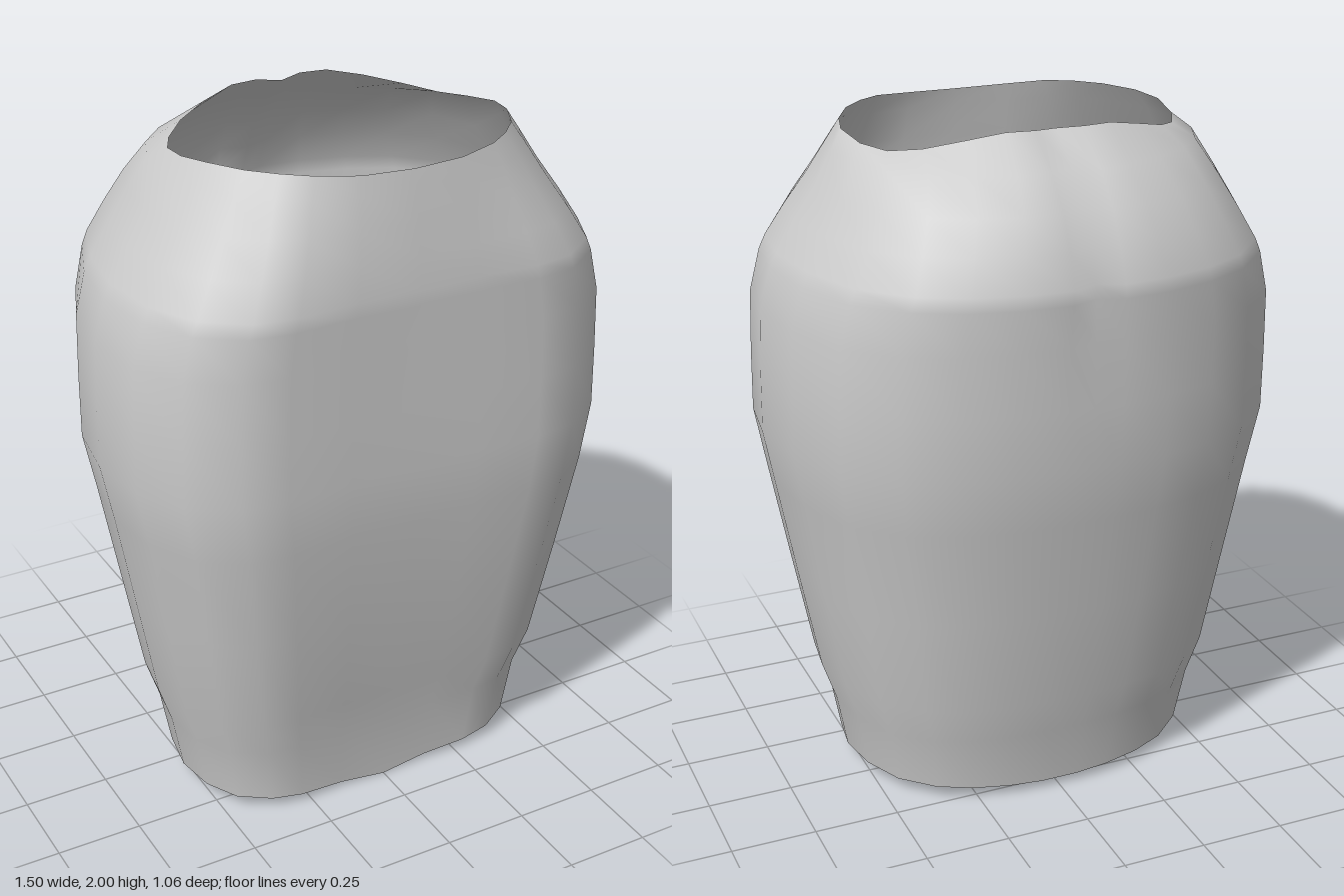
import * as THREE from 'three';

// Half cross-sections [x, z], from centre back round the left side to centre front
const WAIST = [[0, -.24], [.07, -.265], [.15, -.255], [.25, -.22], [.35, -.165], [.42, -.09], [.465, 0],
  [.48, .115], [.455, .21], [.4, .315], [.335, .385], [.265, .435], [.15, .47], [0, .48]];
const HIP = [[0, -.5], [.08, -.53], [.22, -.52], [.37, -.485], [.51, -.42], [.64, -.295], [.715, -.11],
  [.745, .09], [.72, .28], [.645, .42], [.52, .505], [.39, .525], [.2, .515], [0, .52]];

// Heights of the wavy waist and hem edges, in the same order
const WAIST_Y = [1.995, 2, 2, 1.98, 1.955, 1.94, 1.945, 1.96, 1.968, 1.97, 1.97, 1.968, 1.96, 1.957];
const HEM_Y = [.03, .03, .035, .04, .045, .05, .05, .05, .05, .045, .04, .03, .02, .003];

// Rows from waist to hem: [y, half width, front z, back z, waist-to-hip blend, back seam depth]
const ROWS = [
  [WAIST_Y, .48, .48, -.265, 0, 1],
  [1.91, .52, .49, -.37, .3, 1],
  [1.82, .573, .505, -.45, .6, 1],
  [1.73, .63, .518, -.495, .85, 1],
  [1.64, .685, .53, -.53, 1, 1],
  [1.6, .705, .53, -.529, 1, .9],
  [1.48, .738, .53, -.524, 1, .5],
  [1.3, .745, .53, -.515, 1, .15],
  [1.12, .748, .53, -.506, 1, 0],
  [.95, .716, .523, -.477, 1, 0],
  [.65, .662, .48, -.423, 1, 0],
  [.34, .605, .432, -.37, 1, 0],
  [.22, .565, .398, -.333, 1, 0],
  [HEM_Y, .535, .38, -.3, 1, 0],
];

// Fits a section into a unit box: x from 0 to 1, z from 0 (back) to 1 (front)
function normalise(section) {
  const w = Math.max(...section.map(p => p[0]));
  const zs = section.map(p => p[1]);
  const back = Math.min(...zs), front = Math.max(...zs);
  return section.map(([x, z]) => [x / w, (z - back) / (front - back)]);
}

// Skirt body: blended rings, mirrored across x = 0 and joined in quads
function skirtGeometry() {
  const waist = normalise(WAIST), hip = normalise(HIP);
  const half = WAIST.length, around = 2 * half - 2;
  const positions = [], indices = [];
  ROWS.forEach(([y, w, front, back, blend, seam], r) => {
    for (let i = 0; i < around; i++) {
      const k = i < half ? i : around - i;
      const side = i < half ? 1 : -1;
      const x = THREE.MathUtils.lerp(waist[k][0], hip[k][0], blend);
      let z = THREE.MathUtils.lerp(waist[k][1], hip[k][1], blend);
      if (k === 0) z *= seam; // centre-back seam fades out below the hip
      positions.push(side * x * w, Array.isArray(y) ? y[k] : y, back + z * (front - back));
      if (r < ROWS.length - 1) {
        const a = r * around + i, b = r * around + (i + 1) % around;
        indices.push(a, b, a + around, b, b + around, a + around);
      }
    }
  });
  const geometry = new THREE.BufferGeometry();
  geometry.setAttribute('position', new THREE.Float32BufferAttribute(positions, 3));
  geometry.setIndex(indices);
  geometry.computeVertexNormals();
  return geometry;
}

export function createModel() {
  const group = new THREE.Group();
  group.name = 'pencilSkirt';
  const cloth = new THREE.MeshStandardMaterial({ color: 0xcccccc, side: THREE.DoubleSide });
  const skirt = new THREE.Mesh(skirtGeometry(), cloth);
  skirt.name = 'skirt';
  group.add(skirt);
  return group;
}
